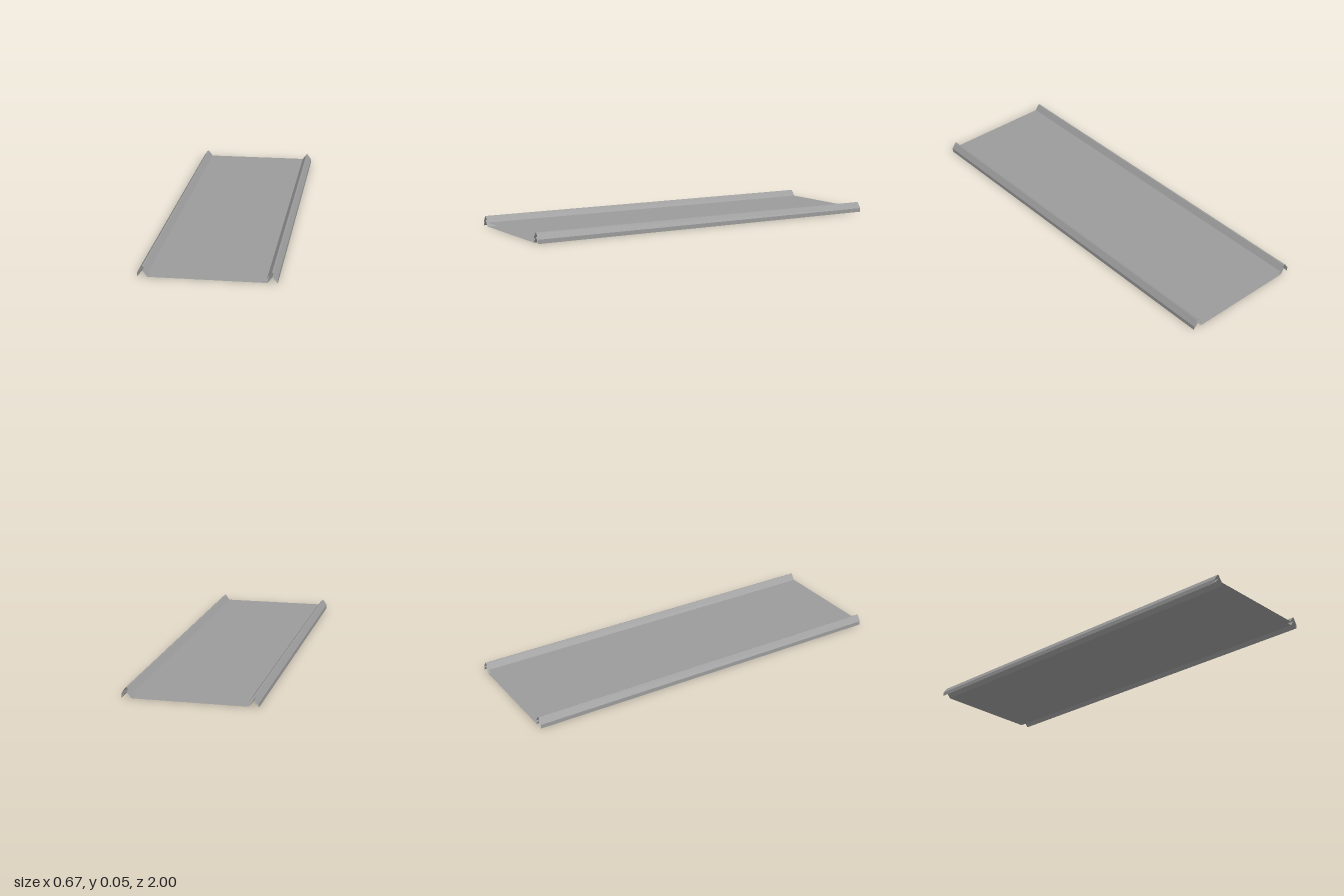
import * as THREE from 'three';

// Right half of the closed cross-section: [x, y] from the upper floor corner round to the lower one
const half = [
  [0.283, 0.021],  // upper floor corner
  [0.305, 0.051],  // softened ridge
  [0.309, 0.053],
  [0.313, 0.051],
  [0.334, 0.021],  // outer lip, top
  [0.334, 0],      // outer lip, bottom
  [0.309, 0.031],  // underside of ridge
  [0.285, 0],      // lower floor corner
];

// Sweep a closed outline along z, leaving both ends open
function openSweep(points, length) {
  const pos = [];
  points.forEach(([x0, y0], i) => {
    const [x1, y1] = points[(i + 1) % points.length];
    const h = length / 2;
    pos.push(x0, y0, h, x0, y0, -h, x1, y1, -h);
    pos.push(x0, y0, h, x1, y1, -h, x1, y1, h);
  });
  const geo = new THREE.BufferGeometry();
  geo.setAttribute('position', new THREE.Float32BufferAttribute(pos, 3));
  geo.computeVertexNormals();
  return geo;
}

export function createModel() {
  const group = new THREE.Group();
  group.name = 'roofPanel';
  const material = new THREE.MeshStandardMaterial({
    color: 0x9b9b9b, flatShading: true, side: THREE.DoubleSide,
  });

  // Mirror the half profile to get the full pan with a folded rib on each side
  const mirrored = half.map(([x, y]) => [-x, y]).reverse();
  const panel = new THREE.Mesh(openSweep([...half, ...mirrored], 2), material);
  panel.name = 'ribbedPanel';
  group.add(panel);
  return group;
}
